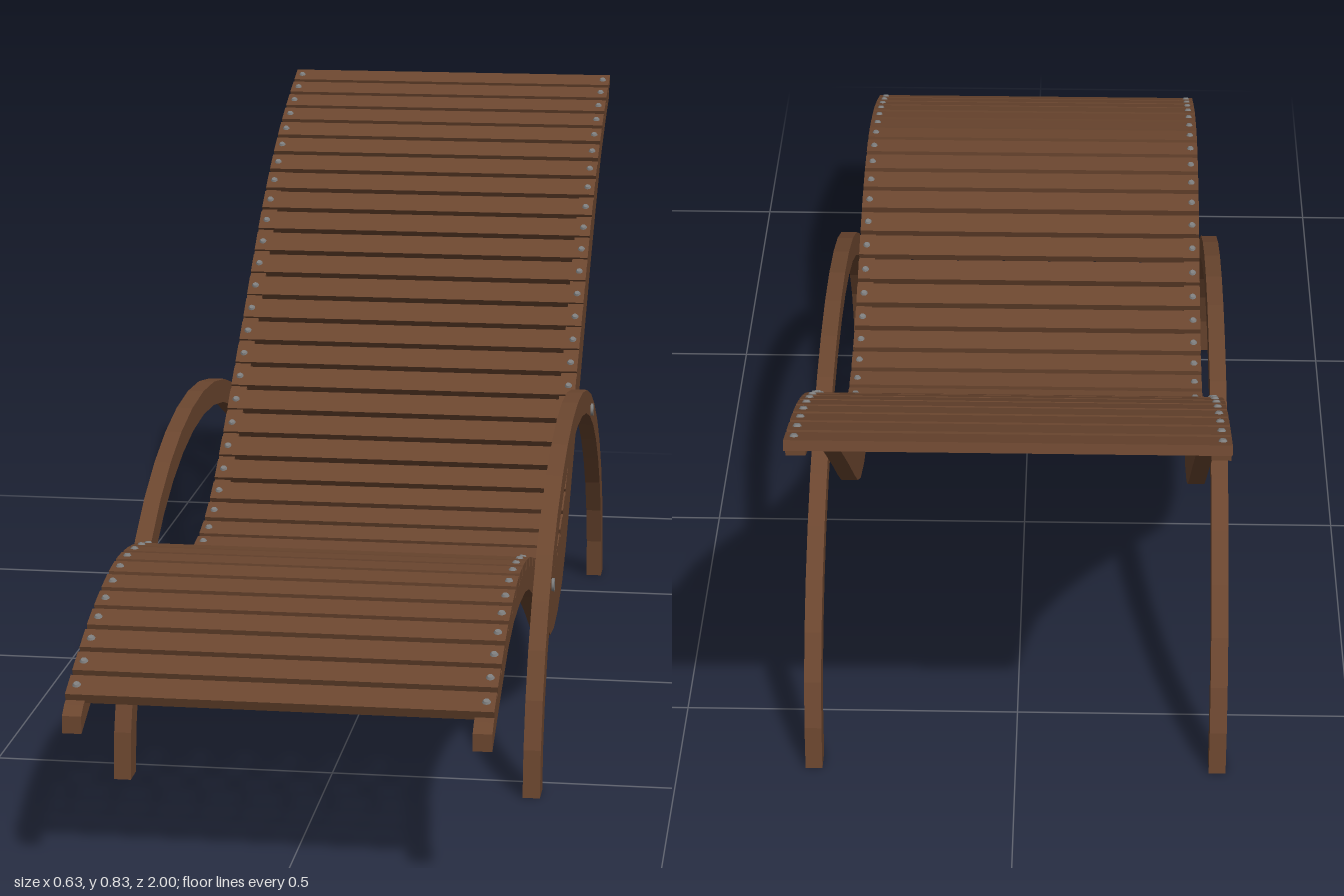
import * as THREE from 'three';

export function createModel() {
  const model = new THREE.Group();
  const wood = new THREE.MeshStandardMaterial({ color: 0x6b462f });
  wood.name = 'brown wood';
  const steel = new THREE.MeshStandardMaterial({ color: 0x7d7d7d });
  steel.name = 'grey steel';

  const add = (parent, name, geometry, material) => {
    const mesh = new THREE.Mesh(geometry, material);
    mesh.name = name;
    parent.add(mesh);
    return mesh;
  };

  // Extrudes a side outline of [z, y] points between x0 and x0 - width
  const sidePanel = (points, width) => {
    const shape = new THREE.Shape(points.map(([z, y]) => new THREE.Vector2(z, y)));
    const geometry = new THREE.ExtrudeGeometry(shape, { depth: width, bevelEnabled: false });
    return geometry.rotateY(-Math.PI / 2);
  };
  const onBothSides = (name, geometry, outer, width, material) => {
    add(model, 'left ' + name, geometry, material).position.x = outer;
    add(model, 'right ' + name, geometry, material).position.x = width - outer;
  };

  // Lying surface, front to back, as [z, y] on top of the slats
  const surface = [
    [0.98, 0.262], [0.9, 0.294], [0.8, 0.328], [0.65, 0.354], [0.5, 0.338], [0.4, 0.304],
    [0.3, 0.262], [0.2, 0.229], [0.1, 0.215], [0, 0.226], [-0.1, 0.266], [-0.2, 0.332],
    [-0.3, 0.408], [-0.4, 0.484], [-0.5, 0.563], [-0.6, 0.638], [-0.7, 0.701],
    [-0.8, 0.752], [-0.9, 0.792], [-1, 0.826],
  ];
  const curve = new THREE.CatmullRomCurve3(surface.map(([z, y]) => new THREE.Vector3(0, y, z)));
  curve.arcLengthDivisions = 600;

  // Side rails: the surface lowered by the slat thickness, with a deeper underside
  const railTop = [[1, 0.238]];
  for (let i = 0; i <= 60; i++) {
    const p = curve.getPointAt(i / 60 * 0.992);
    const t = curve.getTangentAt(i / 60 * 0.992);
    railTop.push([p.z + t.y * 0.014, p.y + t.z * 0.014]);
  }
  const railBottom = [
    [-0.98, 0.789], [-0.9, 0.757], [-0.8, 0.71], [-0.7, 0.64], [-0.6, 0.565], [-0.5, 0.483],
    [-0.4, 0.398], [-0.3, 0.313], [-0.2, 0.225], [-0.14, 0.175], [-0.08, 0.138], [0, 0.112],
    [0.07, 0.104], [0.13, 0.111], [0.2, 0.144], [0.3, 0.2], [0.4, 0.25], [0.5, 0.291],
    [0.56, 0.304], [0.64, 0.31], [0.72, 0.308], [0.8, 0.293], [0.9, 0.255], [1, 0.214],
  ];
  onBothSides('rail', sidePanel([...railTop, ...railBottom], 0.026), 0.286, 0.026, wood);

  // Curved legs that double as armrests: half-ellipse hoops
  const hoop = (a, b, steps) => {
    const points = [];
    for (let i = 0; i <= steps; i++) {
      const angle = i / steps * Math.PI;
      points.push([-0.035 + a * Math.cos(angle), b * Math.sin(angle)]);
    }
    return points;
  };
  const legOutline = [...hoop(0.605, 0.442, 20), ...hoop(0.567, 0.404, 20).reverse()];
  onBothSides('leg hoop', sidePanel(legOutline, 0.025), 0.311, 0.025, wood);

  // Bolts joining the hoops to the rails
  const boltGeometry = new THREE.CylinderGeometry(0.01, 0.01, 0.06, 12).rotateZ(Math.PI / 2);
  for (const side of [-1, 1]) {
    for (const [y, z] of [[0.273, 0.41], [0.367, -0.31]]) {
      add(model, 'bolt', boltGeometry, steel).position.set(side * 0.285, y, z);
    }
  }

  // Slats, evenly spaced along the surface, each with a screw at both ends
  const slatWidth = 0.04;
  const slatGeometry = new THREE.BoxGeometry(0.572, 0.014, slatWidth);
  const screwGeometry = new THREE.CylinderGeometry(0.004, 0.006, 0.003, 10);
  const length = curve.getLength();
  const count = Math.round(length / 0.05);
  for (let i = 0; i < count; i++) {
    const u = (slatWidth / 2 + i / (count - 1) * (length - slatWidth)) / length;
    const p = curve.getPointAt(u);
    const t = curve.getTangentAt(u);
    const slat = new THREE.Group();
    slat.name = 'slat';
    slat.position.copy(p);
    slat.rotation.x = Math.atan2(t.y, -t.z);
    add(slat, 'slat board', slatGeometry, wood).position.y = -0.007;
    for (const side of [-1, 1]) {
      add(slat, 'screw', screwGeometry, steel).position.set(side * 0.274, 0.0015, 0);
    }
    model.add(slat);
  }

  return model;
}
